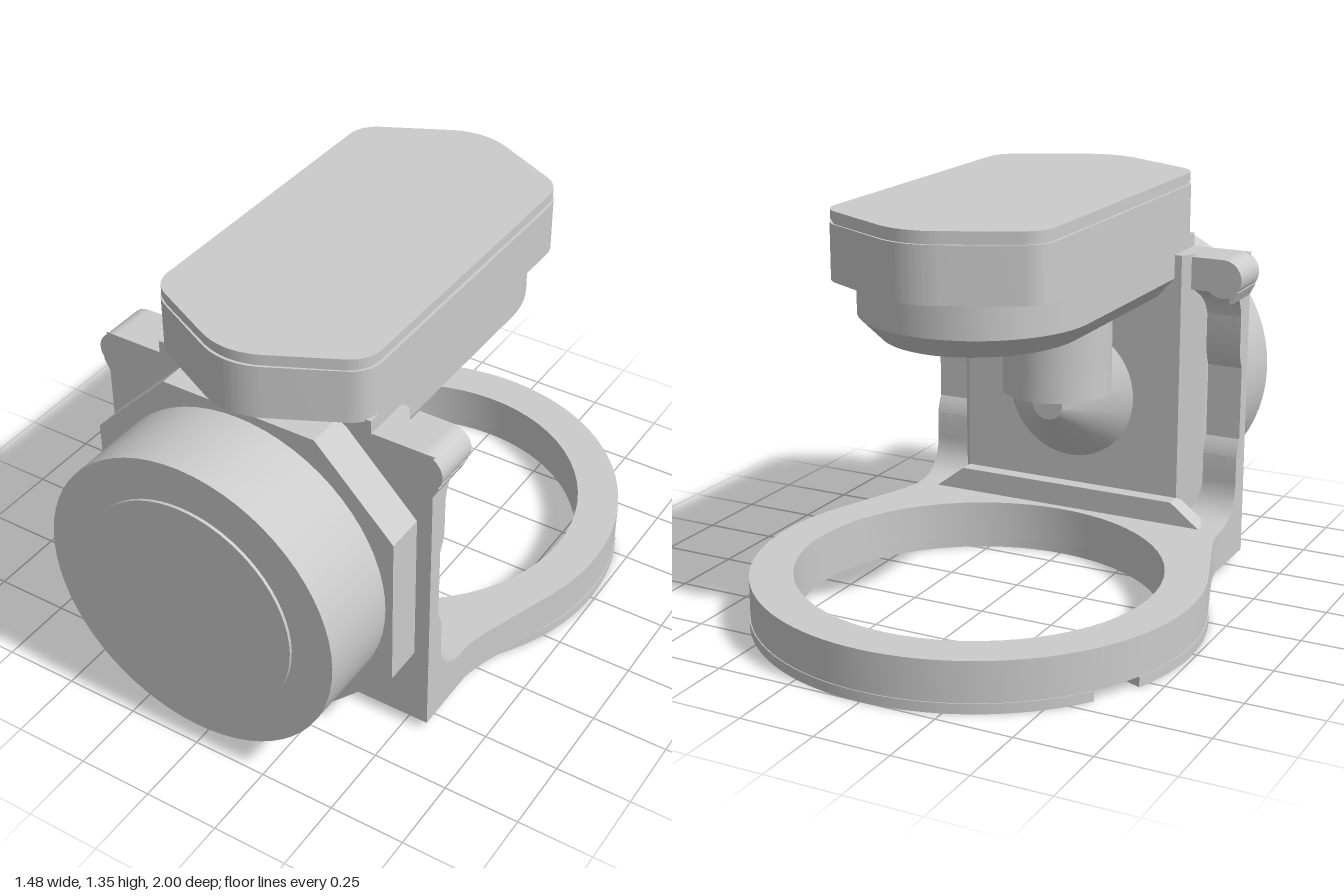
import * as THREE from 'three';
import { toCreasedNormals } from 'three/addons/utils/BufferGeometryUtils.js';

const grey = new THREE.MeshStandardMaterial({ color: 0xcccccc });

export function createModel() {
  const model = new THREE.Group();

  const add = (name, geo, x = 0, y = 0, z = 0) => {
    const mesh = new THREE.Mesh(toCreasedNormals(geo, 0.45), grey);
    mesh.name = name;
    mesh.position.set(x, y, z);
    model.add(mesh);
    return mesh;
  };
  const poly = (pts) => new THREE.Shape(pts.map(([x, y]) => new THREE.Vector2(x, y)));
  const extrude = (shape, depth) =>
    new THREE.ExtrudeGeometry(shape, { depth, bevelEnabled: false, curveSegments: 32 });
  // plan shapes are drawn in (x, -z) and extruded upwards
  const slab = (shape, y0, y1) => extrude(shape, y1 - y0).rotateX(-Math.PI / 2).translate(0, y0, 0);
  const barrel = (r0, r1, z0, z1, sides = 64) =>
    new THREE.CylinderGeometry(r1, r0, z1 - z0, sides).rotateX(Math.PI / 2).translate(0, 0, (z0 + z1) / 2);
  const circleHole = (x, y, r) => new THREE.Path().absarc(x, y, r, 0, Math.PI * 2, true);

  // Closed outline with each corner rounded by its own cut length
  const rounded = (pts) => {
    const s = new THREE.Shape();
    const v = pts.map(([x, y]) => new THREE.Vector2(x, y));
    v.forEach((p, i) => {
      const n = v.length, cut = pts[i][2];
      const toward = (q) => p.clone().add(q.clone().sub(p).setLength(cut));
      const a = toward(v[(i + n - 1) % n]), b = toward(v[(i + 1) % n]);
      if (i) s.lineTo(a.x, a.y); else s.moveTo(a.x, a.y);
      s.quadraticCurveTo(p.x, p.y, b.x, b.y);
    });
    s.closePath();
    return s;
  };

  // Base: ring blending into a straight neck
  const RC = 0.265, RO = 0.735, RI = 0.595;
  const base = new THREE.Shape();
  base.moveTo(-0.58, -0.575);
  base.lineTo(0.58, -0.575);
  base.lineTo(0.58, -0.34);
  base.quadraticCurveTo(0.585, -0.29, 0.61, -0.22);
  base.absarc(0, RC, RO, -0.33, Math.PI + 0.33, false);
  base.lineTo(-0.61, -0.22);
  base.quadraticCurveTo(-0.585, -0.29, -0.58, -0.34);
  base.closePath();
  base.holes.push(circleHole(0, RC, RI));
  add('baseRing', slab(base, 0.033, 0.165));

  // Underside rim, interrupted by a notch on each side
  const notch = 0.496, half = 0.113;
  const rim = (a, b) => {
    const s = new THREE.Shape();
    s.absarc(0, RC, RO + 0.003, a, b, false);
    s.absarc(0, RC, RI, b, a, true);
    s.closePath();
    return slab(s, 0, 0.033);
  };
  add('rimBack', rim(notch + half, Math.PI - notch - half));
  add('rimFront', rim(Math.PI - notch + half, Math.PI * 2 + notch - half));

  // Upright bracket: inner block with slanted flanks
  add('bracketBlock', slab(poly([
    [-0.46, -0.575], [0.46, -0.575], [0.46, -0.5], [0.4, -0.41], [-0.4, -0.41], [-0.46, -0.5],
  ]), 0.033, 1.09));

  // Side columns: thin web with a scooped back edge, drawn in (-z, y)
  const column = new THREE.Shape();
  column.moveTo(-0.575, 0.033);
  column.lineTo(-0.36, 0.033);
  column.lineTo(-0.36, 0.165);
  column.bezierCurveTo(-0.44, 0.165, -0.5, 0.21, -0.5, 0.3);
  column.lineTo(-0.5, 0.39);
  column.quadraticCurveTo(-0.505, 0.42, -0.522, 0.45);
  column.lineTo(-0.522, 0.7);
  column.quadraticCurveTo(-0.505, 0.73, -0.5, 0.76);
  column.lineTo(-0.5, 0.88);
  column.quadraticCurveTo(-0.49, 0.97, -0.41, 0.98);
  column.lineTo(-0.41, 1.09);
  column.lineTo(-0.575, 1.09);
  column.closePath();
  for (const side of [-1, 1]) {
    const pre = side > 0 ? 'left' : 'right';
    // web stops short of the ear, which rounds off the top corner
    add(pre + 'Column', extrude(column, 0.11).rotateY(Math.PI / 2), side > 0 ? 0.435 : -0.545);
    const outer = column.clone();
    outer.curves = column.curves.slice(0, -3);
    outer.lineTo(-0.575, 0.98);
    outer.closePath();
    add(pre + 'ColumnEdge', extrude(outer, 0.035).rotateY(Math.PI / 2), side > 0 ? 0.545 : -0.58);
    add(pre + 'Ear', barrel(0.065, 0.065, 0.41, 0.575, 32), side * 0.545, 1.025);
    const fillet = poly([[0.57, 0.945], [0.58, 0.945], [0.6, 0.985], [0.57, 1.0]]
      .map(([x, y]) => [side * x, y]));
    add(pre + 'EarFillet', extrude(fillet, 0.165), 0, 0, 0.41);
  }

  // Step along the foot of the upright
  add('footStep', extrude(poly([[-0.51, 0.16], [0.51, 0.16], [0.4, 0.245], [-0.4, 0.245]]), 0.07), 0, 0, 0.358);

  // Chamfered flange and round drum on the front
  const CY = 0.575;
  add('flange', extrude(poly([
    [-0.265, 0.045], [0.265, 0.045], [0.53, 0.31], [0.53, 0.835],
    [0.265, 1.105], [-0.265, 1.105], [-0.53, 0.835], [-0.53, 0.31],
  ]), 0.13), 0, 0, 0.575);
  add('drum', barrel(0.505, 0.505, 0.7, 0.99), 0, CY);
  add('drumFace', barrel(0.367, 0.367, 0.98, 1.0), 0, CY);

  // Cone behind the plate and the vertical post it meets
  add('cone', barrel(0.055, 0.235, 0.225, 0.411, 48), 0, CY);
  add('post', new THREE.CylinderGeometry(0.185, 0.185, 0.36, 48), 0, 0.79, 0.3);

  // Head: elongated hexagon with a separate lid
  const hex = (d) => rounded([
    [0.375 - d, -0.58, 0.07], [0.375 - d, 0.545, 0.07], [0, 0.735 - d, 0.12],
    [-0.375 + d, 0.545, 0.07], [-0.375 + d, -0.58, 0.07], [0, -0.77 + d, 0.12],
  ]);
  add('head', slab(hex(0), 1.127, 1.305));
  add('lidGap', slab(hex(0.01), 1.3, 1.32));
  add('lid', slab(hex(0.003), 1.315, 1.345));
  add('headSeat', new THREE.BoxGeometry(0.75, 0.05, 0.17), 0, 1.11, 0.493);

  // Underbody: round-ended, its lower band tapering inward
  const under = new THREE.Shape();
  under.moveTo(-0.375, -0.41);
  under.lineTo(0.375, -0.41);
  under.absarc(0, 0.26, 0.375, 0, Math.PI, false);
  under.closePath();
  add('underbody', slab(under, 1.01, 1.13));
  const taper = slab(under, 0.943, 1.01);
  const p = taper.attributes.position;
  for (let i = 0; i < p.count; i++) {
    if (p.getY(i) > 0.98) continue;
    p.setX(i, p.getX(i) * 0.84);
    p.setZ(i, 0.41 + (p.getZ(i) - 0.41) * 0.943);
  }
  add('underbodyTaper', taper);

  return model;
}
